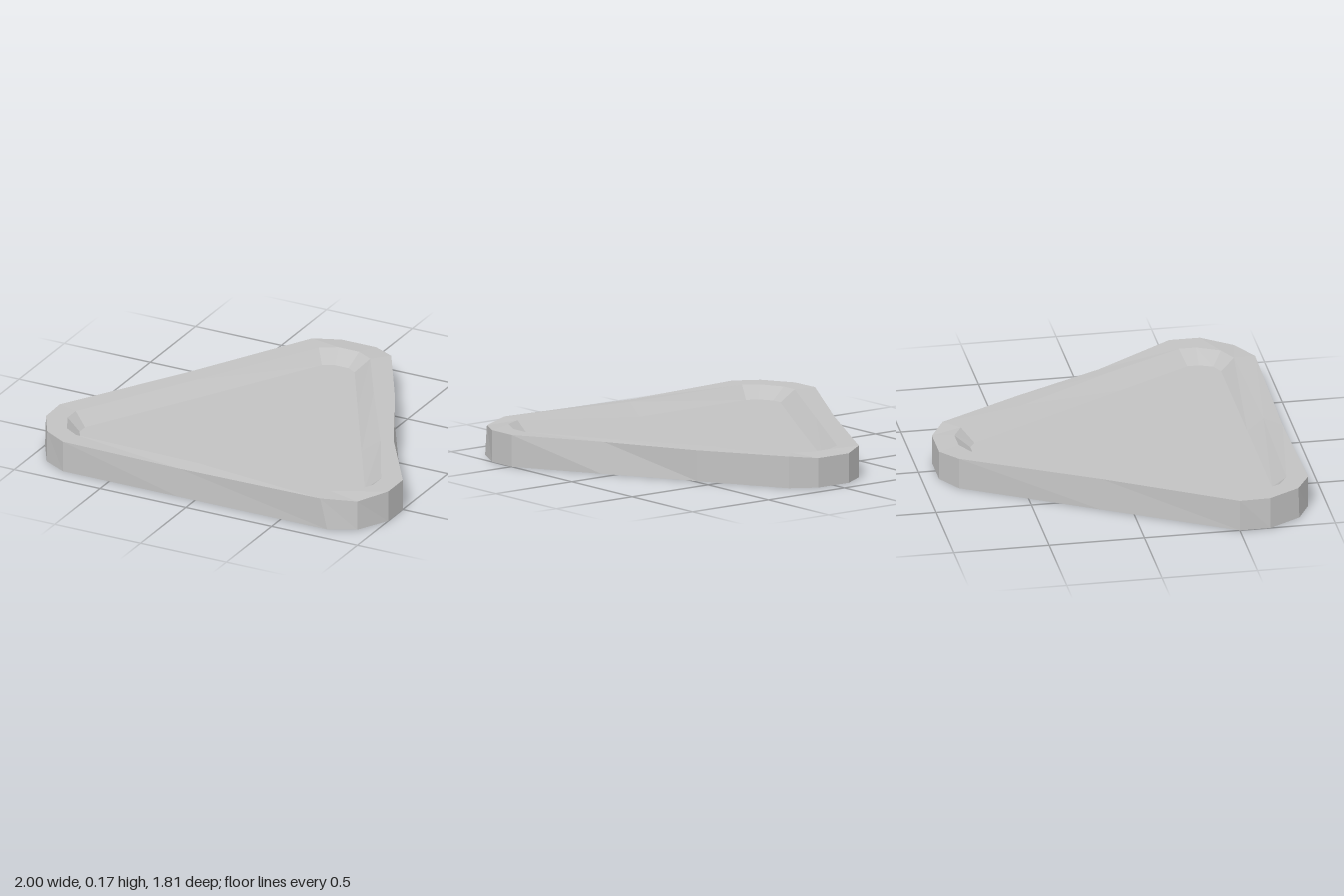
import * as THREE from 'three';

// Outlines as [x, z] (or [x, z, y]), running from the back round the right, front and left
const base = [
  [-0.10, -0.91], [0.10, -0.91], [0.23, -0.83], [0.485, -0.39], [0.752, 0.07],
  [1, 0.50], [1, 0.66], [0.91, 0.83], [0.77, 0.90], [-0.10, 0.90],
  [-0.77, 0.90], [-0.90, 0.83], [-1, 0.66], [-1, 0.50], [-0.618, -0.16], [-0.23, -0.83],
];
const outerEdge = [
  [-0.10, -0.91, 0.155], [0.10, -0.91, 0.155], [0.23, -0.83], [0.485, -0.39, 0.162], [0.725, 0.08, 0.162],
  [1, 0.50], [1, 0.66], [0.905, 0.822, 0.155], [0.73, 0.90], [-0.10, 0.89, 0.155],
  [-0.77, 0.90], [-0.90, 0.825], [-0.995, 0.66], [-1, 0.50], [-0.605, -0.155], [-0.23, -0.83],
];
const innerEdge = [
  [-0.06, -0.80], [0.06, -0.80], [0.15, -0.75], [0.36, -0.39], [0.67, 0.12],
  [0.89, 0.53], [0.89, 0.62], [0.83, 0.74], [0.73, 0.79], [-0.02, 0.805],
  [-0.75, 0.79], [-0.83, 0.74], [-0.89, 0.62], [-0.89, 0.53], [-0.52, -0.11], [-0.15, -0.75],
];
const floorEdge = [
  [-0.04, -0.72], [0.04, -0.72], [0.09, -0.69], [0.32, -0.29], [0.58, 0.16],
  [0.81, 0.56], [0.81, 0.62], [0.78, 0.69], [0.72, 0.72], [-0.02, 0.72],
  [-0.72, 0.72], [-0.78, 0.69], [-0.82, 0.62], [-0.82, 0.56], [-0.46, -0.06], [-0.10, -0.69],
];

const ring = (points, y) => points.map(([x, z, h = y]) => [x, h, z]);

function facets(triangles) {
  const geometry = new THREE.BufferGeometry();
  geometry.setAttribute('position', new THREE.Float32BufferAttribute(triangles.flat(2), 3));
  geometry.computeVertexNormals();
  return geometry;
}

// Band of quads joining two rings
function band(a, b) {
  const triangles = [];
  a.forEach((p, i) => {
    const j = (i + 1) % a.length;
    triangles.push([p, b[i], b[j]], [p, b[j], a[j]]);
  });
  return facets(triangles);
}

// Flat cap fanned from the middle of a ring
function cap(r, up) {
  const centre = [0, r[0][1], 0.2];
  return facets(r.map((p, i) => {
    const q = r[(i + 1) % r.length];
    return up ? [centre, q, p] : [centre, p, q];
  }));
}

export function createModel() {
  const group = new THREE.Group();
  group.name = 'triangularTray';
  const stone = new THREE.MeshStandardMaterial({ color: 0xc2c2c2, flatShading: true });
  stone.name = 'light grey';

  const bottom = ring(base, 0);
  const outer = ring(outerEdge, 0.167);
  const inner = ring(innerEdge, 0.165);
  const floor = ring(floorEdge, 0.1);

  const parts = {
    outerWall: band(bottom, outer),
    rim: band(outer, inner),
    innerBevel: band(inner, floor),
    recessedFloor: cap(floor, true),
    underside: cap(bottom, false),
  };
  for (const [name, geometry] of Object.entries(parts)) {
    const mesh = new THREE.Mesh(geometry, stone);
    mesh.name = name;
    group.add(mesh);
  }
  return group;
}
